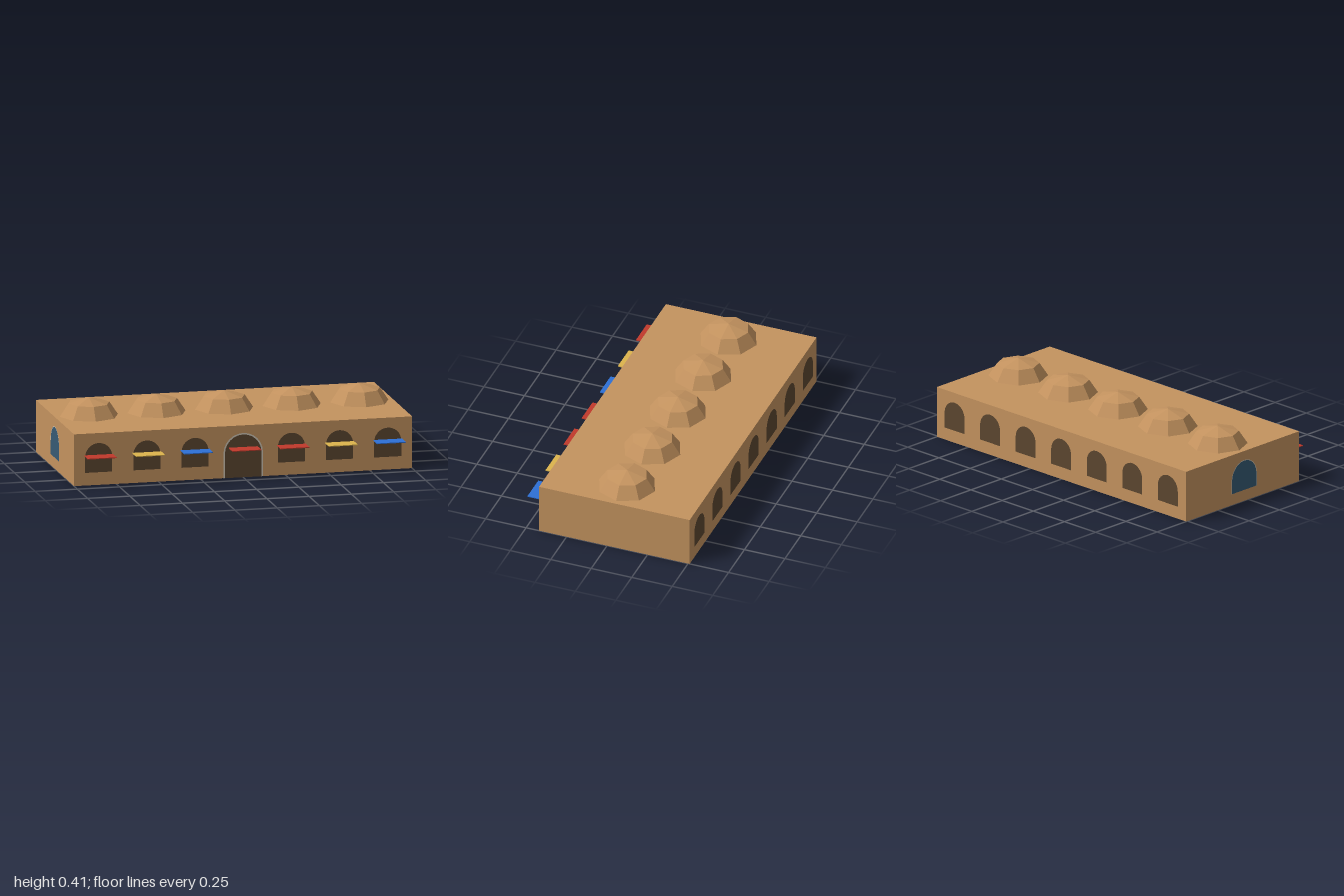
import * as THREE from 'three';

const mat = (name, color, extra = {}) => Object.assign(new THREE.MeshStandardMaterial({ color, ...extra }), { name });

// Round-topped outline standing on y = 0
function archPath(PathType, width, height) {
  const r = width / 2;
  const p = new PathType();
  p.moveTo(-r, 0);
  p.lineTo(r, 0);
  p.lineTo(r, height - r);
  p.absarc(0, height - r, r, 0, Math.PI, false);
  p.lineTo(-r, 0);
  return p;
}

export function createModel() {
  const group = new THREE.Group();
  const W = 2, H = 0.305, BACK = -0.51, FRONT = 0.42;
  const MID = (BACK + FRONT) / 2, GAP = 0.003;

  const clay = mat('clay', 0xc4935f, { side: THREE.DoubleSide });
  const domeClay = mat('domeClay', 0xc4935f, { flatShading: true });
  const opening = mat('darkOpening', 0x5c4630);
  const trim = mat('paleTrim', 0xcfc6b6);
  const blueDoor = mat('slateBlue', 0x365a74);
  const cloth = [mat('redCloth', 0xc0392b), mat('yellowCloth', 0xdcb44c), mat('blueCloth', 0x2d70d6)];

  const add = (name, geometry, material, x, y, z, turn = 0) => {
    const mesh = new THREE.Mesh(geometry, material);
    mesh.name = name;
    mesh.position.set(x, y, z);
    mesh.rotation.y = turn;
    group.add(mesh);
    return mesh;
  };

  // Hall: four walls and a flat roof, open underneath
  const hall = new THREE.BoxGeometry(W, H, FRONT - BACK);
  hall.setIndex([...hall.index.array].filter((_, i) => i < 18 || i >= 24));
  hall.clearGroups();
  add('hall', hall, clay, 0, H / 2, MID);

  // Row of faceted domes
  const dome = new THREE.SphereGeometry(0.172, 8, 2, 0, Math.PI * 2, 0, Math.PI / 2);
  dome.scale(1, 0.62, 1);
  for (let i = -2; i <= 2; i++) add('dome', dome, domeClay, i * 0.4, H, MID);

  // Arched windows front and back, with cloth awnings along the front
  const windowGeo = new THREE.ShapeGeometry(archPath(THREE.Shape, 0.16, 0.172), 8);
  const awningGeo = new THREE.BoxGeometry(0.17, 0.005, 0.096);
  const clothOrder = [0, 1, 2, 0, 0, 1, 2];
  for (let i = -3; i <= 3; i++) {
    const x = i * 0.285;
    add('backWindow', windowGeo, opening, x, 0.075, BACK - GAP, Math.PI);
    if (i !== 0) add('frontWindow', windowGeo, opening, x, 0.075, FRONT + GAP);
    add('awning', awningGeo, cloth[clothOrder[i + 3]], x, 0.176, 0.467);
  }

  // Doorway plate with a slim raised surround
  const addDoor = (name, material, width, height, edge, x, y, z, turn) => {
    add(name, new THREE.ShapeGeometry(archPath(THREE.Shape, width, height), 6), material, x, y, z, turn);
    const ring = archPath(THREE.Shape, width + edge * 2, height + edge);
    ring.holes.push(archPath(THREE.Path, width, height));
    add(name + 'Surround', new THREE.ShapeGeometry(ring, 6), trim, x, y, z, turn);
  };
  addDoor('frontDoor', opening, 0.216, 0.252, 0.009, 0, 0, FRONT + GAP, 0);
  addDoor('sideDoor', blueDoor, 0.2, 0.18, 0.004, -W / 2 - GAP, 0.068, -0.035, -Math.PI / 2);

  return group;
}
